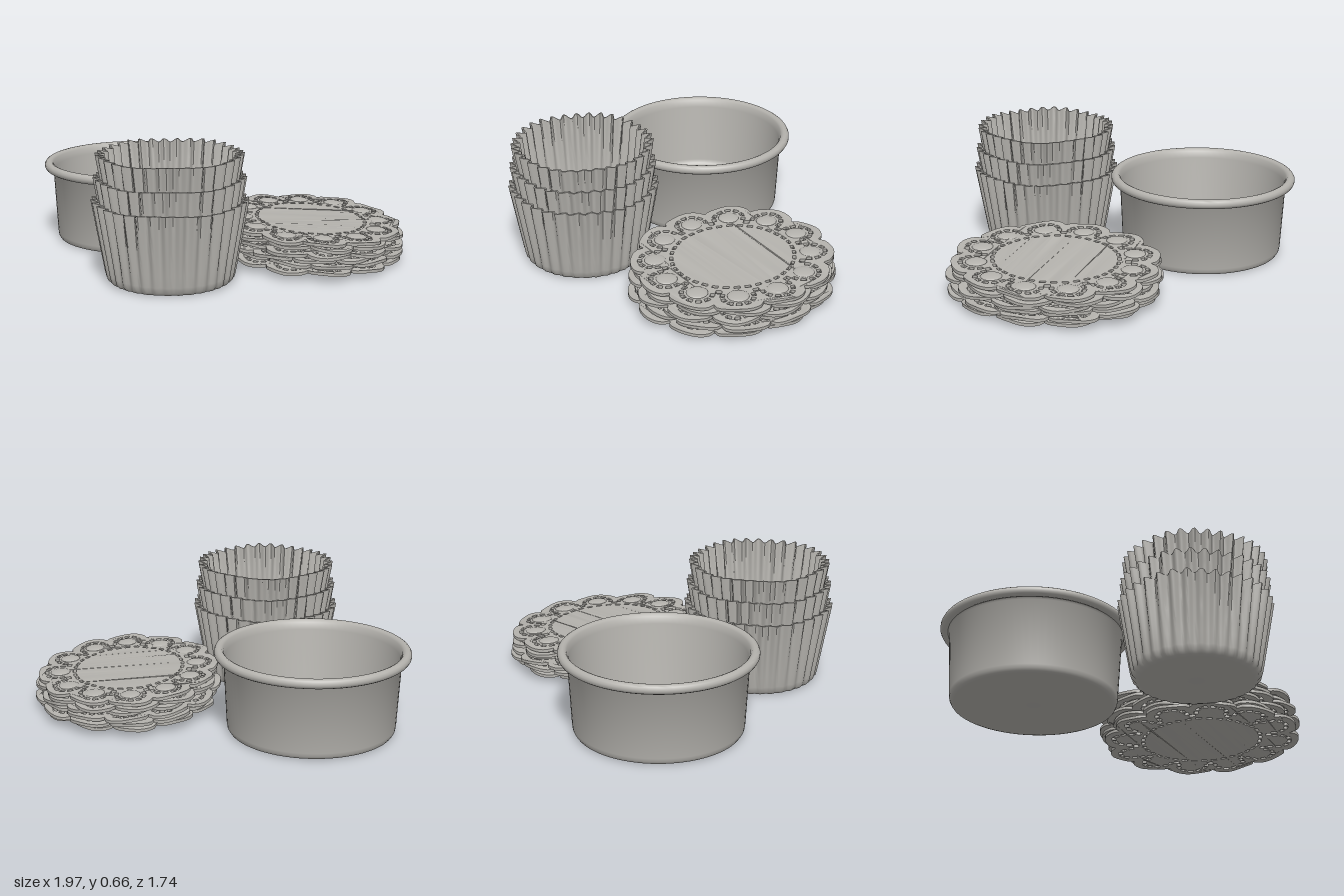
import * as THREE from 'three';
import { mergeVertices, toCreasedNormals } from 'three/addons/utils/BufferGeometryUtils.js';

const TAU = Math.PI * 2;
const PLEATS = 34;
const PETALS = 12;
const v2 = (x, y) => new THREE.Vector2(x, y);

// Run a rule over every vertex of a geometry
function reshape(geometry, rule) {
  const p = geometry.attributes.position;
  const v = new THREE.Vector3();
  for (let i = 0; i < p.count; i++) {
    v.fromBufferAttribute(p, i);
    rule(v);
    p.setXYZ(i, v.x, v.y, v.z);
  }
  return geometry;
}

// Round tin with a rolled rim
function panGeometry() {
  const rim = [];
  for (let i = 0; i <= 10; i++) {
    const a = -2.2 + (i / 10) * 4.9;
    rim.push(v2(0.473 + 0.025 * Math.cos(a), 0.415 + 0.025 * Math.sin(a)));
  }
  const profile = [
    v2(0, 0.004), v2(0.405, 0.004), v2(0.421, 0.009), v2(0.429, 0.022), v2(0.432, 0.04), v2(0.45, 0.385),
    ...rim,
    v2(0.442, 0.39), v2(0.421, 0.055), v2(0.415, 0.032), v2(0.4, 0.022), v2(0.38, 0.02), v2(0, 0.02),
  ];
  return toCreasedNormals(new THREE.LatheGeometry(profile, 80), 0.9);
}

// Thin paper cup whose pleats fade out towards the base
function cupGeometry(topRadius) {
  const height = 0.415, baseRadius = topRadius - 0.06, paper = 0.01;
  const wall = [];
  for (let i = 0; i <= 6; i++) {
    const t = i / 6;
    wall.push(v2(baseRadius + 0.053 * t, 0.05 + (height - 0.05) * t));
  }
  const outer = [v2(0, 0), v2(baseRadius - 0.045, 0), v2(baseRadius - 0.02, 0.006), v2(baseRadius - 0.006, 0.022), ...wall];
  const inner = outer.map((p, i) => v2(Math.max(0, p.x - (i > 1 ? paper : 0)), p.y + (i < 4 ? paper : 0))).reverse();
  const lathe = new THREE.LatheGeometry([...outer, ...inner], PLEATS * 8);
  lathe.deleteAttribute('uv');
  lathe.deleteAttribute('normal');
  reshape(lathe, (v) => {
    const r = Math.hypot(v.x, v.z);
    if (r < 0.01) return;
    const a = Math.atan2(v.z, v.x);
    const t = Math.min(1, v.y / height);
    const strength = THREE.MathUtils.smoothstep(r, baseRadius - 0.06, baseRadius) * (0.004 + 0.015 * t);
    const wave = Math.sin(PLEATS * a + 0.5 * Math.sin(3 * a));
    const k = 1 + (strength * wave) / r;
    v.x *= k;
    v.z *= k;
    v.y += t * t * t * (0.005 * wave + 0.004 * Math.sin(5 * a));
  });
  return toCreasedNormals(mergeVertices(lathe, 1e-5), 0.9);
}

// Curved slot between two radii around a point
function slot(cx, cy, r0, r1, a0, a1) {
  const points = [];
  for (let i = 0; i <= 2; i++) {
    const a = a0 + ((a1 - a0) * i) / 2;
    points.push(v2(cx + r1 * Math.cos(a), cy + r1 * Math.sin(a)));
  }
  for (let i = 2; i >= 0; i--) {
    const a = a0 + ((a1 - a0) * i) / 2;
    points.push(v2(cx + r0 * Math.cos(a), cy + r0 * Math.sin(a)));
  }
  return new THREE.Path(points);
}

// Scalloped sheet with pierced lace, unit radius
function doilyShape() {
  const outline = [];
  for (let i = 0; i < 144; i++) {
    const a = (i / 144) * TAU;
    const r = 0.9 + 0.1 * Math.sqrt(Math.abs(Math.cos((a * PETALS) / 2)));
    outline.push(v2(r * Math.cos(a), r * Math.sin(a)));
  }
  const shape = new THREE.Shape(outline);
  for (let p = 0; p < PETALS; p++) {
    const a = (p / PETALS) * TAU;
    const cx = 0.76 * Math.cos(a), cy = 0.76 * Math.sin(a);
    // Arch of slots around each petal
    for (let k = -3; k <= 3; k++) {
      const b = a + k * 0.58;
      shape.holes.push(slot(cx, cy, 0.128, 0.172, b - 0.19, b + 0.19));
    }
    // Slot between neighbouring petals
    const m = a + Math.PI / PETALS;
    shape.holes.push(slot(0, 0, 0.66, 0.715, m - 0.045, m + 0.045));
    // Ring around the plain centre
    for (let k = -1; k <= 1; k++) {
      const b = a + (k * TAU) / (PETALS * 3);
      shape.holes.push(slot(0, 0, 0.585, 0.62, b - 0.05, b + 0.05));
    }
  }
  return shape;
}

const RX = 0.478, RZ = 0.545, SHEET = 0.016;
const ripple = (x, z, phase) => {
  const r = Math.hypot(x / RX, z / RZ), a = Math.atan2(z, x);
  return r ** 3 * (0.005 * Math.sin(12 * a + phase) + 0.004 * Math.sin(5 * a + phase * 2));
};

function doilyGeometry(shape, phase) {
  const g = new THREE.ExtrudeGeometry(shape, { depth: SHEET, bevelEnabled: false, steps: 1 });
  g.rotateX(-Math.PI / 2);
  g.scale(RX, 1, RZ);
  reshape(g, (v) => { v.y += ripple(v.x, v.z, phase); });
  return toCreasedNormals(g, 0.6);
}

export function createModel() {
  const model = new THREE.Group();
  model.name = 'bakingSet';
  const grey = new THREE.MeshStandardMaterial({ color: 0xb4b2ad });
  grey.name = 'warm grey';
  const add = (parent, geometry, name) => {
    const mesh = new THREE.Mesh(geometry, grey);
    mesh.name = name;
    parent.add(mesh);
    return mesh;
  };

  // Cake pan
  add(model, panGeometry(), 'cakePan').position.set(-0.5, 0, -0.38);

  // Nested paper cups
  const cups = new THREE.Group();
  cups.name = 'paperCups';
  cups.position.set(-0.235, 0.003, 0.462);
  model.add(cups);
  [0.385, 0.373, 0.361].forEach((radius, i) => {
    const cup = add(cups, cupGeometry(radius), 'paperCup' + (i + 1));
    cup.position.y = i * 0.116;
    cup.rotation.y = i * 0.05;
  });

  // Leaning stack of doilies
  const stack = new THREE.Group();
  stack.name = 'doilyStack';
  stack.position.set(0.48, 0, -0.048);
  model.add(stack);
  const shape = doilyShape();
  const layers = 6;
  for (let i = 0; i < layers; i++) {
    const top = i === layers - 1;
    const doily = new THREE.Group();
    doily.name = 'doily' + (i + 1);
    doily.position.set(top ? -0.005 : 0.02 * Math.sin(i * 2.4), 0.034 + i * 0.029, top ? 0 : 0.02 * Math.cos(i * 2.1));
    doily.rotation.set(0, 0.14 + (top ? 0 : 0.08 * Math.sin(i * 1.9 + 0.6)), -0.024 - i * 0.006);
    stack.add(doily);
    const phase = i * 1.3;
    add(doily, doilyGeometry(shape, phase), 'laceSheet');
    if (!top) continue;
    // Embossed petal centres on the exposed sheet
    for (let p = 0; p < PETALS; p++) {
      const a = (p / PETALS) * TAU;
      const x = 0.76 * RX * Math.cos(a), z = 0.76 * RZ * Math.sin(a);
      const dome = add(doily, new THREE.SphereGeometry(1, 20, 6, 0, TAU, 0, Math.PI / 2), 'petalBoss');
      dome.scale.set(0.052, 0.012, 0.056);
      dome.position.set(x, SHEET + ripple(x, z, phase) - 0.001, z);
    }
  }
  return model;
}
